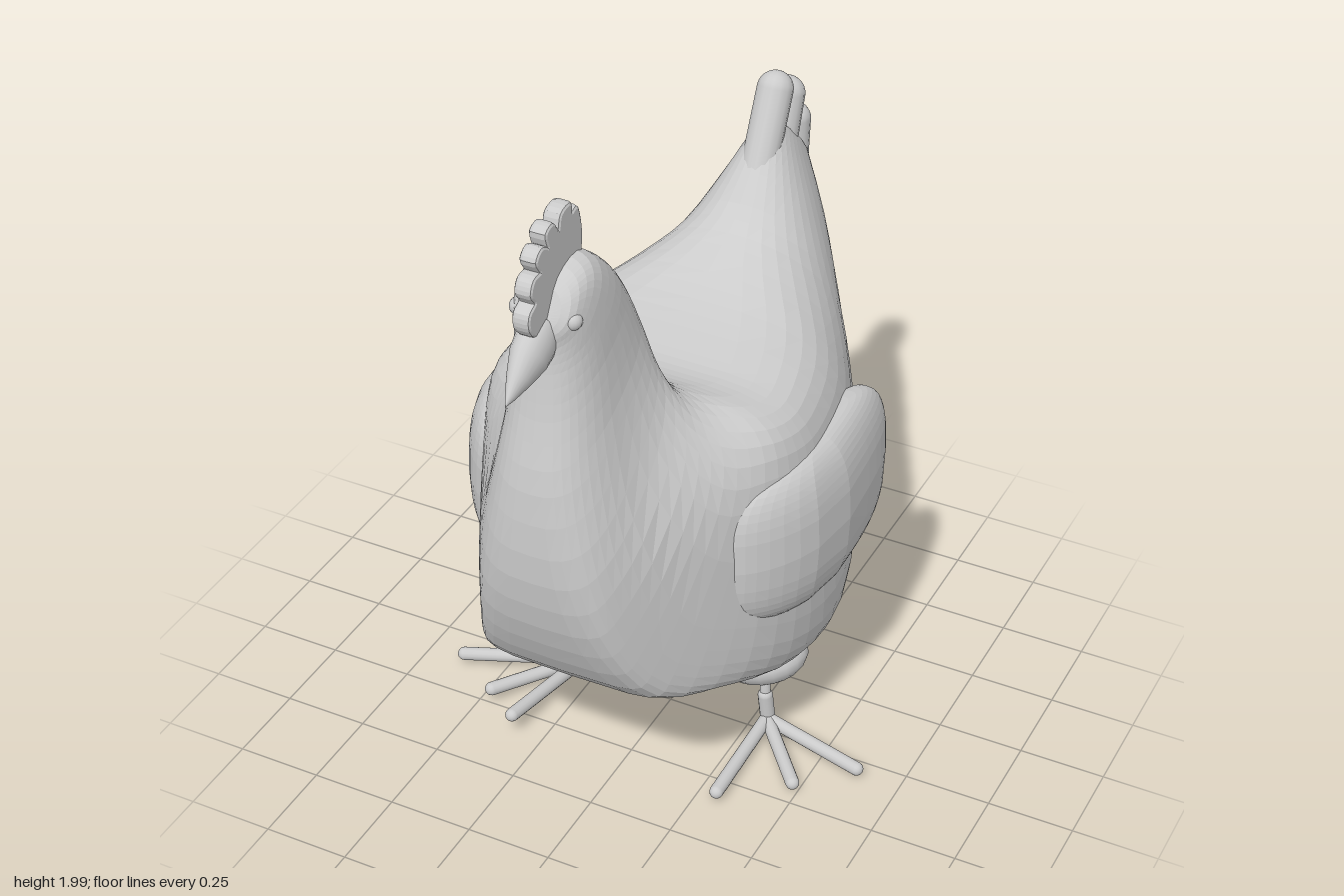
import * as THREE from 'three';
import { mergeVertices } from 'three/addons/utils/BufferGeometryUtils.js';

const mat = new THREE.MeshStandardMaterial({ color: 0xcccccc, flatShading: true });
const smooth = new THREE.MeshStandardMaterial({ color: 0xcccccc });
const V = (x, y, z) => new THREE.Vector3(x, y, z);
const spow = (v, e) => Math.sign(v) * Math.abs(v) ** e;

function add(parent, name, geometry, material = smooth) {
  const mesh = new THREE.Mesh(geometry, material);
  mesh.name = name;
  parent.add(mesh);
  return mesh;
}

// Ribs from tail tip to face: top z, y | bottom z, y | half width | top and bottom squareness
const RIBS = [
  [-0.66, 1.58, -0.79, 1.48, 0.005, 2, 2],
  [-0.64, 1.63, -0.84, 1.44, 0.045, 2, 2],
  [-0.59, 1.60, -0.856, 1.35, 0.08, 2.2, 2],
  [-0.52, 1.52, -0.85, 1.20, 0.14, 2.2, 2],
  [-0.42, 1.42, -0.80, 0.92, 0.235, 2.2, 2.2],
  [-0.30, 1.36, -0.71, 0.62, 0.345, 2.6, 2.5],
  [-0.16, 1.31, -0.52, 0.37, 0.44, 3.4, 3.2],
  [0.00, 1.28, -0.25, 0.24, 0.48, 4.3, 4.6],
  [0.10, 1.27, 0.05, 0.29, 0.49, 4.5, 5],
  [0.18, 1.285, 0.33, 0.41, 0.47, 4, 5],
  [0.24, 1.32, 0.57, 0.52, 0.40, 3, 4.5],
  [0.275, 1.37, 0.70, 0.72, 0.31, 2.6, 3.6],
  [0.285, 1.45, 0.765, 0.97, 0.215, 2.6, 3.2],
  [0.295, 1.55, 0.76, 1.25, 0.155, 2.6, 2.7],
  [0.34, 1.66, 0.72, 1.45, 0.128, 2.5, 2.4],
  [0.42, 1.77, 0.70, 1.58, 0.115, 2.5, 2.2],
  [0.53, 1.85, 0.695, 1.65, 0.1, 2.6, 2.2],
  [0.63, 1.83, 0.70, 1.69, 0.075, 2.5, 2.2],
  [0.685, 1.75, 0.70, 1.73, 0.005, 2, 2],
];

// Straight wedge limits on the width toward breast and tail
function wedge(x, z) {
  const limit = Math.min(0.165 + (0.76 - z) * 0.58, 0.09 + (z + 0.865) * 0.75);
  return x / (1 + Math.abs(x / limit) ** 10) ** 0.1;
}

// Loft through the ribs, each a closed superellipse between its top and bottom points
function bodyGeometry(rows = 54, cols = 40) {
  const top = new THREE.CatmullRomCurve3(RIBS.map(r => V(r[4], r[1], r[0])));
  const bottom = new THREE.CatmullRomCurve3(RIBS.map(r => V(r[4], r[3], r[2])));
  const power = new THREE.CatmullRomCurve3(RIBS.map((r, i) => V(r[5], r[6], i)));
  const pos = [], idx = [];
  for (let i = 0; i <= rows; i++) {
    const T = top.getPoint(i / rows), B = bottom.getPoint(i / rows), P = power.getPoint(i / rows);
    for (let j = 0; j < cols; j++) {
      const a = j / cols * Math.PI * 2, c = Math.cos(a), s = Math.sin(a);
      const e = 2 / (c > 0 ? P.x : P.y), k = spow(c, e) / 2;
      const z = (T.z + B.z) / 2 + (T.z - B.z) * k;
      pos.push(wedge(Math.max(T.x, 0.003) * spow(s, e), z), (T.y + B.y) / 2 + (T.y - B.y) * k, z);
      if (i < rows) {
        const p = i * cols + j, q = i * cols + (j + 1) % cols;
        idx.push(p, p + cols, q, q, p + cols, q + cols);
      }
    }
  }
  const g = new THREE.BufferGeometry();
  g.setAttribute('position', new THREE.Float32BufferAttribute(pos, 3));
  g.setIndex(idx);
  g.computeVertexNormals();
  return g;
}

// Rounded slab bent around the flank: sinks into the body in front, free and thin behind
function wingGeometry(side) {
  let g = new THREE.SphereGeometry(1, 36, 24);
  g.deleteAttribute('uv');
  g.deleteAttribute('normal');
  g = mergeVertices(g, 1e-4);
  const p = g.attributes.position;
  for (let i = 0; i < p.count; i++) {
    const h = spow(p.getY(i), 0.5), z = -0.015 + 0.385 * spow(p.getZ(i), 0.5);
    const bend = z > 0 ? 0.95 * z * z : 0;
    const thick = z > 0 ? 0.085 : 0.085 + 0.08 * z;
    const x = 0.468 + thick * spow(p.getX(i), 0.7) - bend - 0.03 * h * h;
    p.setXYZ(i, x, 0.845 + 0.25 * h + 0.06 * z * (h < 0 ? 1.4 : 0.2), z);
  }
  if (side < 0) {
    g.scale(-1, 1, 1);
    const a = g.index.array;
    for (let i = 0; i < a.length; i += 3) [a[i], a[i + 1]] = [a[i + 1], a[i]];
  }
  g.computeVertexNormals();
  return g;
}

// Round rod with ball ends
function rod(parent, name, a, b, r) {
  const m = add(parent, name, new THREE.CapsuleGeometry(r, a.distanceTo(b), 6, 14));
  m.position.copy(a).add(b).multiplyScalar(0.5);
  m.quaternion.setFromUnitVectors(V(0, 1, 0), b.clone().sub(a).normalize());
  return m;
}

export function createModel() {
  const hen = new THREE.Group();
  hen.name = 'hen';
  const upper = new THREE.Group();
  upper.name = 'upperBody';
  upper.position.x = -0.014;
  hen.add(upper);
  add(upper, 'body', bodyGeometry(), mat);

  // Tail feather tips
  [[-0.57, 1.50, -0.672, 1.708, 0.052], [-0.67, 1.42, -0.752, 1.655, 0.052], [-0.79, 1.28, -0.811, 1.548, 0.046]]
    .forEach(([z0, y0, z1, y1, r]) => rod(upper, 'tailFeather', V(0, y0, z0), V(0, y1, z1), r));

  // Comb
  const outline = [[0.70, 1.70], [0.765, 1.75], [0.765, 1.79], [0.735, 1.81], [0.755, 1.845], [0.74, 1.875],
    [0.705, 1.88], [0.725, 1.92], [0.70, 1.94], [0.665, 1.925], [0.675, 1.97], [0.645, 1.98], [0.615, 1.945],
    [0.60, 1.985], [0.555, 1.99], [0.55, 1.96], [0.525, 1.965], [0.51, 1.93], [0.505, 1.86], [0.53, 1.80], [0.62, 1.76]];
  const edge = new THREE.CatmullRomCurve3(outline.map(([z, y]) => V(z, y, 0)), true);
  const comb = new THREE.ExtrudeGeometry(new THREE.Shape(edge.getPoints(84).map(q => new THREE.Vector2(q.x, q.y))),
    { depth: 0.026, bevelThickness: 0.012, bevelSize: 0.008, bevelSegments: 2 });
  comb.translate(0, 0, -0.013).rotateY(-Math.PI / 2);
  add(upper, 'comb', comb);

  // Beak: narrow curved cone
  const beak = add(upper, 'beak', new THREE.LatheGeometry(
    [[0.064, -0.03], [0.07, 0.02], [0.066, 0.06], [0.042, 0.12], [0.018, 0.17], [0, 0.2]]
      .map(q => new THREE.Vector2(...q)), 20));
  beak.position.set(0, 1.682, 0.692);
  beak.scale.x = 0.72;
  beak.quaternion.setFromUnitVectors(V(0, 1, 0), V(0, -0.52, 0.855).normalize());

  // Paired parts; toe ends listed for each foot
  const toes = {
    '1': [[0.62, 0.035, 0.06], [0.48, 0.03, 0.19], [0.31, 0.04, 0.33]],
    '-1': [[-0.62, 0.05, 0.13], [-0.465, 0.055, 0.24], [-0.34, 0.08, 0.34]],
  };
  for (const s of [1, -1]) {
    const side = s > 0 ? 'left' : 'right';
    add(upper, side + 'Wing', wingGeometry(s), mat);
    const eye = add(upper, side + 'Eye', new THREE.SphereGeometry(0.025, 16, 12));
    eye.position.set(s * 0.075, 1.728, 0.65);

    const leg = new THREE.Group();
    leg.name = side + 'Leg';
    hen.add(leg);
    const thigh = add(leg, 'thigh', new THREE.SphereGeometry(1, 20, 14));
    thigh.scale.set(0.14, 0.085, 0.12);
    thigh.rotation.z = s * 0.25;
    thigh.position.set(s * 0.26, 0.24, -0.065);
    rod(leg, 'shin', V(s * 0.29, 0.22, -0.025), V(s * 0.295, 0.13, -0.02), 0.016);
    rod(leg, 'ankle', V(s * 0.295, 0.125, -0.02), V(s * 0.3, 0.035, -0.03), 0.022);
    toes[s].forEach(t => rod(leg, 'toe', V(s * 0.3, 0.035, -0.025), V(...t), 0.02));
  }
  return hen;
}
